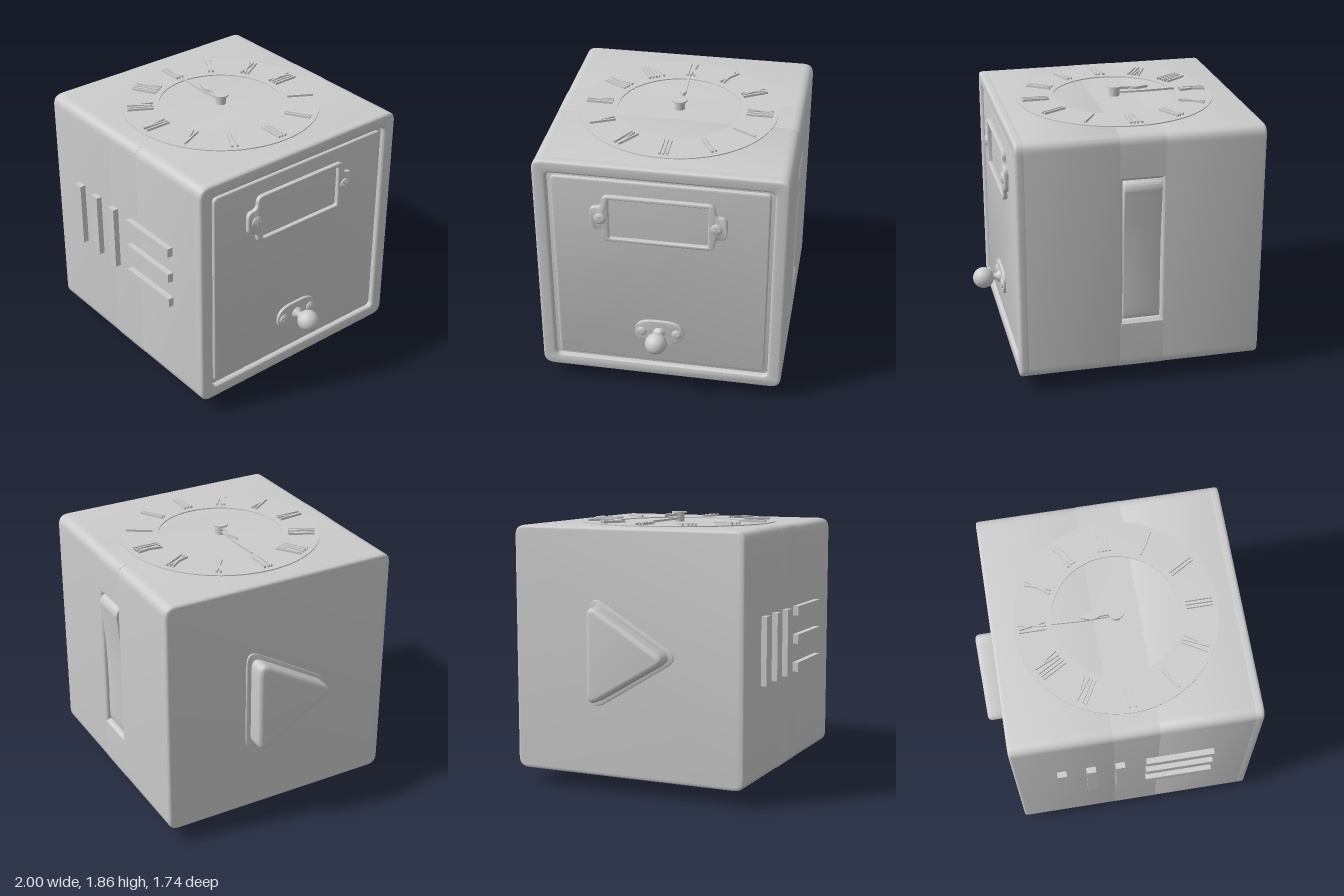
import * as THREE from 'three';
import { toCreasedNormals } from 'three/addons/utils/BufferGeometryUtils.js';

const grey = new THREE.MeshStandardMaterial({ color: 0xcccccc });

// Polygon with each corner rounded by a curve
function roundPoly(pts, r, Type = THREE.Shape) {
  const path = new Type();
  const v = pts.map(p => new THREE.Vector2(...p));
  v.forEach((c, i) => {
    const toward = q => {
      const d = q.clone().sub(c), len = d.length();
      return c.clone().addScaledVector(d, Math.min(r, len / 2) / len);
    };
    const a = toward(v[(i + v.length - 1) % v.length]), b = toward(v[(i + 1) % v.length]);
    if (i === 0) path.moveTo(a.x, a.y); else path.lineTo(a.x, a.y);
    path.quadraticCurveTo(c.x, c.y, b.x, b.y);
  });
  path.closePath();
  return path;
}

const rect = (x0, y0, x1, y1) => [[x0, y0], [x1, y0], [x1, y1], [x0, y1]];

// Extrude from depth a to depth b, bevel included
function slab(shape, a, b, bevel = 0) {
  const g = new THREE.ExtrudeGeometry(shape, {
    depth: b - a - 2 * bevel, curveSegments: 8, bevelEnabled: bevel > 0,
    bevelSize: bevel, bevelThickness: bevel, bevelOffset: -bevel, bevelSegments: 4,
  });
  return toCreasedNormals(g.translate(0, 0, a + bevel), 0.6);
}
// Orient slabs: right face uses (-z, y), left face (z, y), top uses (x, -z)
const onRight = (...a) => slab(...a).rotateY(Math.PI / 2);
const onLeft = (...a) => slab(...a).rotateY(-Math.PI / 2);
const onTop = (...a) => slab(...a).rotateX(-Math.PI / 2);

export function createModel() {
  const model = new THREE.Group();
  const add = (name, geo, parent = model) => {
    const m = new THREE.Mesh(geo, grey);
    m.name = name;
    parent.add(m);
    return m;
  };
  const group = (name, parent = model) => {
    const g = new THREE.Group();
    g.name = name;
    parent.add(g);
    return g;
  };

  // Body: two end blocks, a notched centre for the back switch, and a door frame
  const outline = rect(-0.825, 0.11, 0.86, 1.79);
  const block = () => roundPoly(outline, 0.075);
  add('bodyLeft', onRight(block(), -0.865, -0.165, 0.02));
  add('bodyRight', onRight(block(), 0.1, 0.765, 0.02));
  const notched = new THREE.Shape();
  notched.moveTo(0.79, 0.11);
  notched.quadraticCurveTo(0.86, 0.11, 0.86, 0.18);
  [[0.86, 0.45], [0.84, 0.47], [0.77, 0.47], [0.77, 1.48], [0.84, 1.48], [0.86, 1.5], [0.86, 1.72]]
    .forEach(p => notched.lineTo(...p));
  notched.quadraticCurveTo(0.86, 1.79, 0.79, 1.79);
  notched.lineTo(-0.755, 1.79);
  notched.quadraticCurveTo(-0.825, 1.79, -0.825, 1.72);
  notched.lineTo(-0.825, 0.18);
  notched.quadraticCurveTo(-0.825, 0.11, -0.755, 0.11);
  add('bodyCentre', onRight(notched, -0.185, 0.12));
  const rim = block();
  rim.holes.push(roundPoly(rect(-0.73, 0.2, 0.765, 1.7), 0.04, THREE.Path));
  add('doorFrame', onRight(rim, 0.725, 0.803, 0.02));
  add('door', onRight(roundPoly(rect(-0.705, 0.225, 0.74, 1.675), 0.035), 0.74, 0.787, 0.012));

  // Tilted rocker switch on the back
  const rocker = new THREE.Shape();
  rocker.moveTo(0.76, 0.475);
  rocker.lineTo(0.815, 0.475);
  rocker.splineThru([[0.835, 0.51], [0.836, 0.8], [0.845, 1.1], [0.868, 1.36], [0.873, 1.42], [0.855, 1.46], [0.82, 1.475]]
    .map(p => new THREE.Vector2(...p)));
  rocker.lineTo(0.76, 1.475);
  add('rockerSwitch', onRight(rocker, -0.162, 0.098, 0.01));

  // Triangular button on the left of the front view
  add('triangleFlange', onLeft(roundPoly([[-0.28, 0.55], [0.38, 0.95], [-0.28, 1.35]], 0.12), 0.85, 0.876, 0.005));
  add('triangleButton', onLeft(roundPoly([[-0.25, 0.6], [0.34, 0.95], [-0.25, 1.3]], 0.1), 0.86, 1.0, 0.03));

  // Raised bars on the front
  const bars = group('frontBars');
  const bar = (x, y, w, h) =>
    add('frontBar', new THREE.BoxGeometry(w, h, 0.06).translate(x, y, 0.835), bars);
  for (let i = 0; i < 3; i++) {
    bar(-0.545 + i * 0.2, 0.99, 0.065, 0.46);
    bar(0.268, 1.188 - i * 0.198, 0.465, 0.065);
  }

  // Domed screw with a cross
  const screw = (x, y, z, r, parent) => {
    const s = group('screw', parent);
    const dome = [[r, 0], [r, 0.006], [r * 0.85, 0.012], [r * 0.5, 0.016], [0, 0.018]].map(p => new THREE.Vector2(...p));
    add('screwHead', new THREE.LatheGeometry(dome, 24).rotateZ(-Math.PI / 2), s);
    add('screwCross', new THREE.BoxGeometry(0.008, r * 1.2, r * 0.28).translate(0.015, 0, 0), s);
    add('screwCross', new THREE.BoxGeometry(0.008, r * 0.28, r * 1.2).translate(0.015, 0, 0), s);
    s.position.set(x, y, z);
  };

  // Label holder on the door
  const holder = group('labelHolder');
  const quarter = [[0.375, -0.175], [0.375, -0.085], [0.455, -0.085]];
  const right = [...quarter, ...quarter.map(([x, y]) => [x, -y]).reverse()];
  const tabbed = [...right, ...right.map(([x, y]) => [-x, -y])].map(([x, y]) => [x + 0.01, y + 1.395]);
  const frame = roundPoly(tabbed, 0.05);
  frame.holes.push(roundPoly(rect(-0.32, 1.245, 0.34, 1.545), 0.015, THREE.Path));
  add('labelFrame', onRight(frame, 0.78, 0.815, 0.006), holder);
  for (const s of [-1, 1]) screw(0.813, 1.395, -0.01 + s * 0.386, 0.04, holder);

  // Door knob
  const knob = group('doorKnob');
  add('knobPlate', onRight(roundPoly(rect(-0.16, 0.395, 0.18, 0.585), 0.13), 0.78, 0.806, 0.005), knob);
  const stem = [[0.045, 0], [0.042, 0.02], [0.026, 0.035], [0.022, 0.055], [0.03, 0.08]].map(p => new THREE.Vector2(...p));
  add('knobStem', new THREE.LatheGeometry(stem, 24).rotateZ(-Math.PI / 2).translate(0.795, 0.49, -0.01), knob);
  add('knobBall', new THREE.SphereGeometry(0.075, 32, 20).translate(0.925, 0.49, -0.01), knob);
  for (const s of [-1, 1]) screw(0.804, 0.49, -0.01 + s * 0.122, 0.035, knob);

  // Clock dial ring
  const clock = group('clock');
  clock.position.set(-0.035, 0, -0.01);
  const ring = new THREE.Shape().absarc(0, 0, 0.68, 0, Math.PI * 2);
  ring.holes.push(new THREE.Path().absarc(0, 0, 0.425, 0, Math.PI * 2));
  ring.curves[0].aClockwise = false;
  const ringGeo = new THREE.ExtrudeGeometry(ring, { depth: 0.017, bevelEnabled: false, curveSegments: 64 });
  add('dialRing', toCreasedNormals(ringGeo, 0.6).rotateX(-Math.PI / 2).translate(0, 1.78, 0), clock);

  // Hour marks made of straight strokes
  const marks = ['I', 'II', 'III', 'IV', 'V', 'VI', 'VII', 'VIII', 'IX', 'X', 'XI', 'XII'];
  const width = { I: 0.025, V: 0.05, X: 0.045 };
  marks.forEach((text, i) => {
    const spoke = group('hourMark', clock);
    spoke.rotation.y = -(i + 1) * Math.PI / 6;
    const mark = group('strokes', spoke);
    mark.position.set(0, 1.802, -0.555);
    if (i >= 3 && i <= 7) mark.rotation.y = Math.PI;
    const stroke = (x0, x1) => {
      const m = add('stroke', new THREE.BoxGeometry(0.013, 0.02, 0.18), mark);
      m.position.x = (x0 + x1) / 2;
      m.rotation.y = Math.atan((x1 - x0) / 0.18);
    };
    let x = -[...text].reduce((sum, c) => sum + width[c], 0) / 2;
    for (const c of text) {
      const mid = x + width[c] / 2;
      if (c === 'I') stroke(mid, mid);
      if (c === 'V') { stroke(mid - 0.017, mid); stroke(mid + 0.017, mid); }
      if (c === 'X') { stroke(mid - 0.015, mid + 0.015); stroke(mid + 0.015, mid - 0.015); }
      x += width[c];
    }
  });

  // Clock hands and pivot
  const mirrored = half => [...half, ...half.map(([x, y]) => [x, -y]).reverse()];
  add('longHand', onTop(roundPoly(mirrored([[-0.43, -0.003], [-0.23, -0.013], [0, -0.008]]), 0.002), 1.804, 1.818), clock);
  add('shortHand', onTop(roundPoly(mirrored([[-0.24, -0.003], [-0.16, -0.026], [-0.125, -0.02], [-0.11, -0.008], [0, -0.008]]), 0.012), 1.832, 1.85), clock);
  add('pivotStem', new THREE.CylinderGeometry(0.036, 0.036, 0.07, 32).translate(0, 1.815, 0), clock);
  add('pivotCap', new THREE.CylinderGeometry(0.052, 0.052, 0.012, 32).translate(0, 1.854, 0), clock);

  // Round feet with small raised pads underneath
  const footProfile = [[0, 0.012], [0.135, 0.012], [0.152, 0.018], [0.161, 0.035], [0.163, 0.12]].map(p => new THREE.Vector2(...p));
  for (const x of [-0.35, 0.303]) for (const z of [-0.337, 0.32]) {
    const foot = group('foot');
    foot.position.set(x, 0, z);
    add('footBase', toCreasedNormals(new THREE.LatheGeometry(footProfile, 40).toNonIndexed(), 0.6), foot);
    for (const s of [-1, 1])
      add('footPad', new THREE.BoxGeometry(0.03, 0.02, 0.12).translate(s * 0.035, 0.01, 0), foot);
  }
  return model;
}
